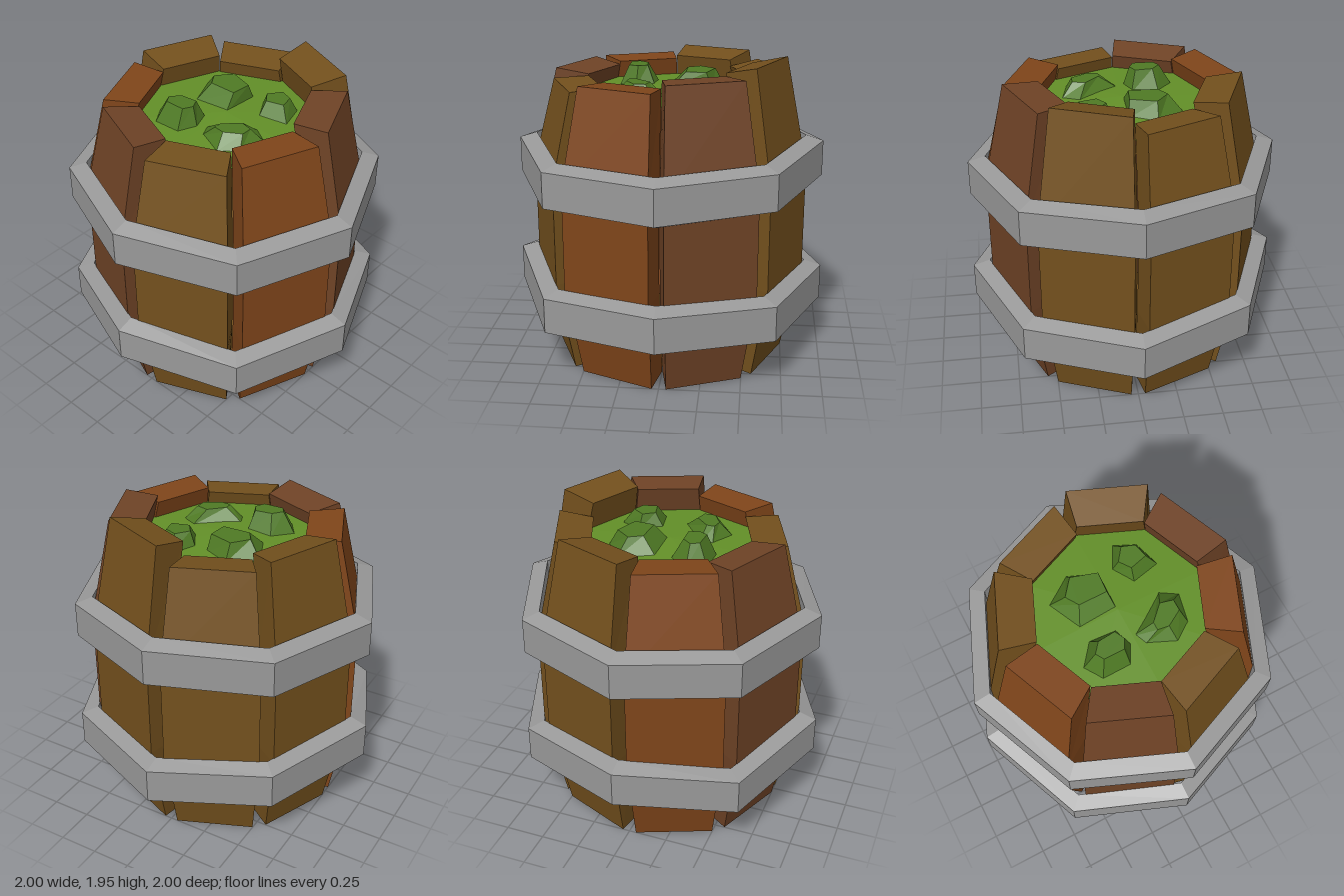
import * as THREE from 'three';

const paint = (color) => new THREE.MeshStandardMaterial({ color, flatShading: true });

// Skin a run of equal cross-sections; closed joins the last to the first, otherwise both ends are capped.
function loft(rings, closed = false) {
  const pos = [];
  const tri = (...pts) => pts.forEach((p) => pos.push(...p));
  const n = rings[0].length;
  const spans = closed ? rings.length : rings.length - 1;
  for (let i = 0; i < spans; i++) {
    const a = rings[i], b = rings[(i + 1) % rings.length];
    for (let j = 0; j < n; j++) {
      const k = (j + 1) % n;
      tri(a[j], a[k], b[k]);
      tri(a[j], b[k], b[j]);
    }
  }
  if (!closed) {
    const a = rings[0], b = rings[rings.length - 1];
    for (let j = 1; j < n - 1; j++) {
      tri(a[0], a[j + 1], a[j]);
      tri(b[0], b[j], b[j + 1]);
    }
  }
  const g = new THREE.BufferGeometry();
  g.setAttribute('position', new THREE.Float32BufferAttribute(pos, 3));
  g.computeVertexNormals();
  return g;
}

// Bowed plank facing +z, with its own outer and inner top heights.
function staveGeometry(outerTop, innerTop) {
  // [outer y, inner y, inner distance, inner half width, outer distance, outer half width]
  const levels = [
    [0, 0, 0.48, 0.197, 0.71, 0.246],
    [0.6, 0.6, 0.62, 0.255, 0.826, 0.293],
    [1.25, 1.25, 0.62, 0.255, 0.826, 0.293],
    [outerTop, innerTop, 0.48, 0.197, 0.695, 0.243],
  ];
  return loft(levels.map(([yo, yi, di, wi, dо, wo]) => [
    [-wi, yi, di], [-wo, yo, dо], [wo, yo, dо], [wi, yi, di],
  ]));
}

// Eight-cornered band with bevelled edges; each corner has its own height.
function hoopGeometry(radius, heights) {
  const inner = radius - 0.11;
  return loft(heights.map((y, k) => {
    const c = Math.cos(k * Math.PI / 4), s = Math.sin(k * Math.PI / 4);
    return [[radius, -0.115], [radius, 0.11], [inner, 0.145], [inner, -0.155]]
      .map(([r, dy]) => [r * c, y + dy, r * s]);
  }), true);
}

export function createModel() {
  const model = new THREE.Group();
  model.name = 'barrel';
  const yellow = paint(0x73501d), red = paint(0x6f4326), orange = paint(0x7f451a);
  const iron = paint(0x999999), grass = paint(0x639028), clump = paint(0x4f7a24);

  const add = (name, geometry, material, parent = model) => {
    const mesh = new THREE.Mesh(geometry, material);
    mesh.name = name;
    parent.add(mesh);
    return mesh;
  };

  // Staves, from the front towards +x and round
  const staves = new THREE.Group();
  staves.name = 'staves';
  model.add(staves);
  [
    [yellow, 1.79, 1.8], [orange, 1.84, 1.83], [red, 1.89, 1.88], [yellow, 1.95, 1.9],
    [yellow, 1.84, 1.81], [yellow, 1.89, 1.85], [orange, 1.84, 1.83], [red, 1.84, 1.81],
  ].forEach(([wood, outerTop, innerTop], i) => {
    const stave = add('stave', staveGeometry(outerTop, innerTop), wood, staves);
    stave.rotation.y = (i + 0.5) * Math.PI / 4;
  });

  // Iron hoops
  add('lowerHoop', hoopGeometry(1, [0.475, 0.445, 0.52, 0.445, 0.525, 0.49, 0.45, 0.45]), iron);
  add('upperHoop', hoopGeometry(0.98, [1.25, 1.245, 1.28, 1.27, 1.275, 1.28, 1.3, 1.27]), iron);

  // Recessed floor
  add('floor', new THREE.CylinderGeometry(0.54, 0.53, 0.06, 8), yellow).position.y = 0.07;

  // Slightly domed grass filling
  add('grass', new THREE.ConeGeometry(0.56, 0.03, 8), grass).position.y = 1.735;

  // Grass clumps: [top height, base outline, top outline] as x, z pairs
  const clumps = [
    [1.83,
      [[-0.34, -0.22], [-0.17, -0.34], [0, -0.27], [0, 0], [-0.25, 0]],
      [[-0.25, -0.18], [-0.17, -0.28], [-0.01, -0.23], [-0.02, -0.1], [-0.2, -0.1]]],
    [1.82,
      [[0.09, -0.25], [0.17, -0.39], [0.3, -0.33], [0.35, -0.16], [0.17, -0.11]],
      [[0.13, -0.24], [0.19, -0.32], [0.27, -0.29], [0.29, -0.2], [0.18, -0.17]]],
    [1.855,
      [[-0.34, 0.22], [-0.24, 0.09], [-0.07, 0.1], [-0.03, 0.22], [-0.09, 0.33], [-0.27, 0.33]],
      [[-0.26, 0.22], [-0.21, 0.16], [-0.1, 0.15], [-0.07, 0.21], [-0.1, 0.27], [-0.23, 0.27]]],
    [1.81,
      [[0, 0.18], [0.27, 0], [0.37, 0.07], [0.33, 0.25], [0.22, 0.33], [0.04, 0.26]],
      [[0.13, 0.19], [0.22, 0.1], [0.3, 0.12], [0.3, 0.19], [0.2, 0.25], [0.13, 0.24]]],
  ];
  for (const [top, base, crown] of clumps) {
    const ring = (outline, y) => outline.map(([x, z]) => [x, y, z]).reverse();
    add('grassClump', loft([ring(base, 1.725), ring(crown, top)]), clump);
  }

  return model;
}
